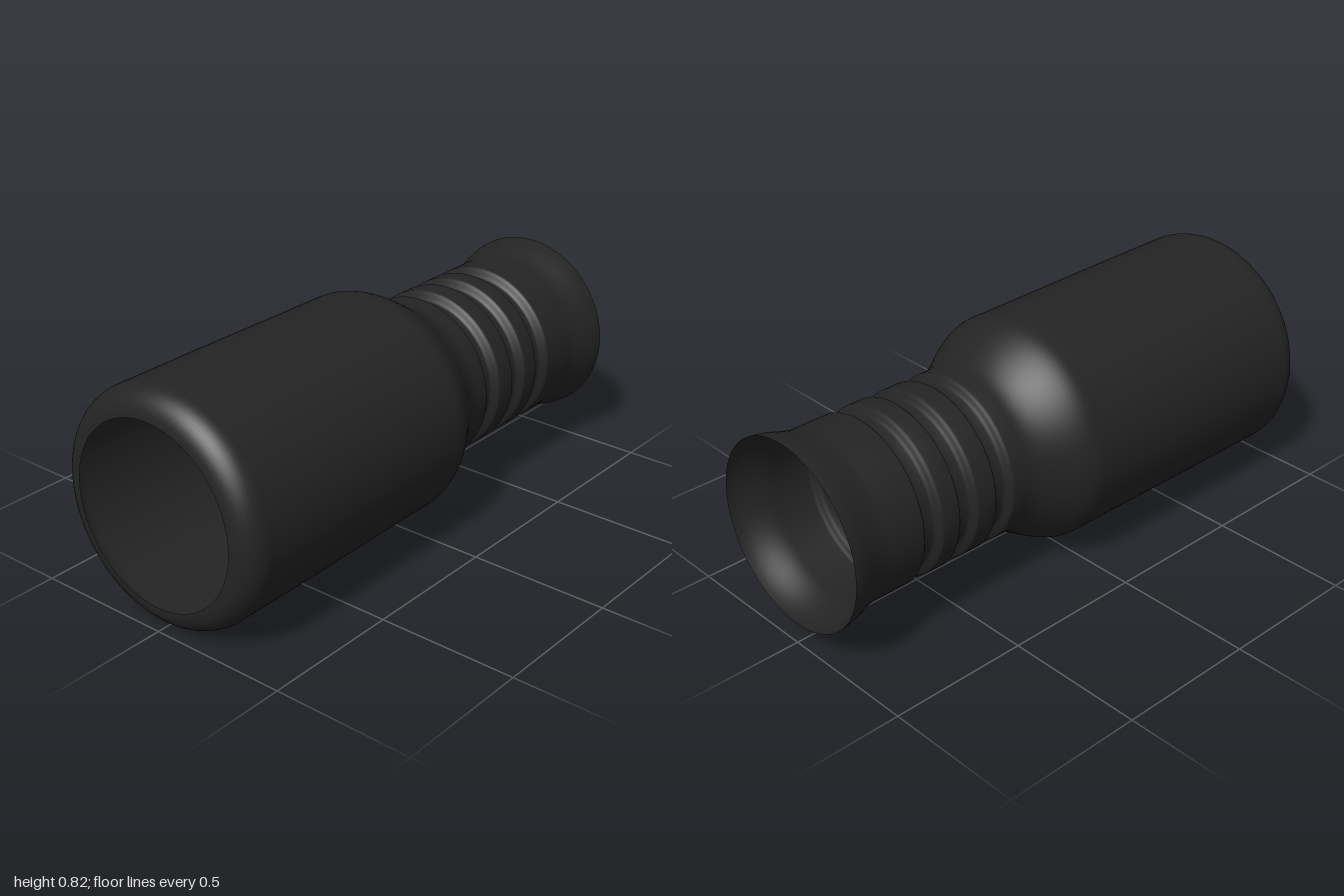
import * as THREE from 'three';

export function createModel() {
  const group = new THREE.Group();
  group.name = 'ribbedSleeve';

  const rubber = new THREE.MeshStandardMaterial({ color: 0x242424, side: THREE.DoubleSide });
  rubber.name = 'black rubber';

  const profile = []; // (radius, position along the axis)
  const add = (along, radius) => profile.push(new THREE.Vector2(radius, along));
  // S-shaped blend between two radii
  const blend = (a0, r0, a1, r1, steps) => {
    for (let i = 0; i <= steps; i++) {
      const t = i / steps;
      add(a0 + (a1 - a0) * t, r0 + (r1 - r0) * t * t * (3 - 2 * t));
    }
  };

  // Rounded rim of the wide open end
  for (let i = 0; i <= 10; i++) {
    const a = (i / 10) * Math.PI / 2;
    add(-0.91 - 0.09 * Math.cos(a), 0.32 + 0.09 * Math.sin(a));
  }

  // Slightly tapered body and shoulder
  add(-0.55, 0.409);
  add(-0.2, 0.406);
  add(0, 0.405);
  blend(0.02, 0.405, 0.27, 0.3, 14);

  // Three grooves around the neck
  for (const centre of [0.363, 0.517, 0.663]) {
    blend(centre - 0.042, 0.299, centre - 0.018, 0.266, 4);
    blend(centre + 0.018, 0.266, centre + 0.042, 0.299, 4);
  }

  // Flared open mouth
  blend(0.84, 0.299, 1, 0.332, 10);

  const sleeve = new THREE.Mesh(new THREE.LatheGeometry(profile, 96), rubber);
  sleeve.name = 'sleeve';
  sleeve.rotation.z = -Math.PI / 2;
  sleeve.position.y = 0.41;
  group.add(sleeve);
  return group;
}
